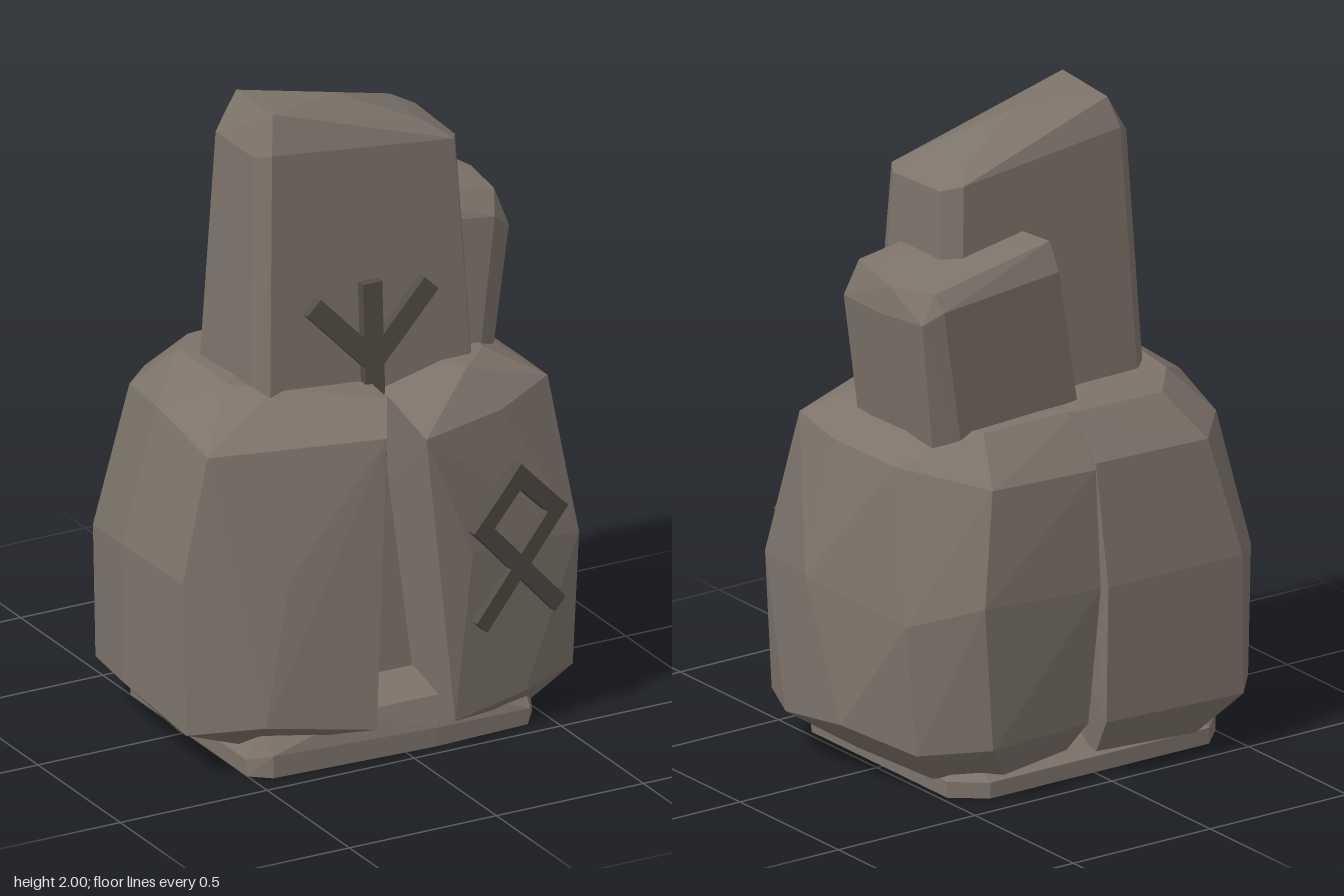
import * as THREE from 'three';
import { ConvexGeometry } from 'three/addons/geometries/ConvexGeometry.js';

const stone = new THREE.MeshStandardMaterial({ color: 0x7d736a });
stone.name = 'stone';
const runeStone = new THREE.MeshStandardMaterial({ color: 0x524d45 });
runeStone.name = 'dark rune stone';

// Faceted rock: the hull of a few corner points
function rock(name, points) {
  const geo = new ConvexGeometry(points.map((p) => new THREE.Vector3(...p)));
  const mesh = new THREE.Mesh(geo, stone);
  mesh.name = name;
  return mesh;
}

// Raised rune made of straight strokes [x1, y1, x2, y2]
function rune(name, strokes, width, depth) {
  const group = new THREE.Group();
  group.name = name;
  for (const [x1, y1, x2, y2] of strokes) {
    const dx = x2 - x1, dy = y2 - y1;
    const bar = new THREE.Mesh(new THREE.BoxGeometry(Math.hypot(dx, dy), width, depth), runeStone);
    bar.position.set((x1 + x2) / 2, (y1 + y2) / 2, 0);
    bar.rotation.z = Math.atan2(dy, dx);
    bar.name = 'runeStroke';
    group.add(bar);
  }
  return group;
}

export function createModel() {
  const model = new THREE.Group();
  model.name = 'runeStones';

  // Flat footing under the boulders
  model.add(rock('baseSlab', [
    [-0.5, 0, 0.38], [-0.44, 0, 0.43], [0.1, 0, 0.455], [0.42, 0, 0.44], [0.48, 0, 0.36],
    [0.48, 0, -0.33], [0.38, 0, -0.41], [-0.42, 0, -0.41], [-0.5, 0, -0.33],
    [-0.5, 0.05, 0.37], [-0.44, 0.07, 0.43], [0.1, 0.06, 0.455], [0.43, 0.05, 0.44],
    [0.48, 0.08, 0.34], [0.48, 0.05, -0.33], [0.38, 0.05, -0.41], [-0.42, 0.05, -0.41],
    [-0.5, 0.05, -0.33],
    [-0.45, 0.13, 0.37], [-0.15, 0.15, 0.42], [0.15, 0.15, 0.42], [0.43, 0.12, 0.38],
    [-0.13, 0.2, 0.3], [0.13, 0.2, 0.3], [0.4, 0.12, -0.3], [-0.42, 0.12, -0.3],
  ]));

  // Boulder on the model's left
  model.add(rock('leftBoulder', [
    // underside
    [0.15, 0.08, 0.43], [0.46, 0.05, 0.38], [0.54, 0.06, 0.05], [0.5, 0.05, -0.28],
    [0.32, 0.06, -0.4], [0.08, 0.08, -0.38],
    // lower rim
    [0.14, 0.09, 0.5], [0.4, 0.12, 0.46], [0.59, 0.15, 0.41], [0.69, 0.16, 0.2],
    [0.69, 0.2, -0.08], [0.6, 0.16, -0.34], [0.42, 0.18, -0.48], [0.05, 0.18, -0.45],
    // waist
    [0.2, 0.62, 0.5], [0.6, 0.58, 0.43], [0.69, 0.62, 0.1], [0.63, 0.57, -0.33],
    [0.46, 0.64, -0.495], [0.03, 0.61, -0.485],
    // shoulder
    [0.05, 1.01, 0.485], [0.35, 1.02, 0.41], [0.56, 1.05, 0.31], [0.585, 1.03, 0.1],
    [0.58, 1.03, -0.2], [0.4, 0.99, -0.45], [0.03, 0.98, -0.46],
    // crown
    [0.03, 1.08, 0.3], [0.28, 1.135, 0.32], [0.4, 1.135, 0.2], [0.44, 1.13, -0.1],
    [0.34, 1.12, -0.32], [0.0, 1.13, -0.34],
  ]));

  // Boulder on the model's right
  model.add(rock('rightBoulder', [
    // underside
    [-0.14, 0.1, 0.42], [-0.48, 0.07, 0.3], [-0.58, 0.06, 0.1], [-0.54, 0.06, -0.28],
    [-0.35, 0.06, -0.44], [0.0, 0.07, -0.42],
    // lower rim
    [-0.13, 0.12, 0.505], [-0.47, 0.17, 0.44], [-0.68, 0.15, 0.33], [-0.69, 0.19, -0.04],
    [-0.62, 0.15, -0.33], [-0.47, 0.18, -0.515], [0.02, 0.19, -0.5],
    // waist
    [-0.38, 0.62, 0.42], [-0.67, 0.62, 0.29], [-0.68, 0.62, -0.06], [-0.62, 0.57, -0.345],
    [-0.47, 0.62, -0.51], [0.02, 0.62, -0.51],
    // shoulder
    [-0.07, 1.03, 0.46], [-0.43, 1.05, 0.3], [-0.585, 1.01, 0.29], [-0.57, 1.05, -0.05],
    [-0.51, 1.01, -0.32], [-0.38, 0.99, -0.46], [0.03, 1.0, -0.46],
    // crown
    [-0.02, 1.12, 0.37], [-0.43, 1.16, 0.13], [-0.32, 1.15, 0.22], [-0.4, 1.14, -0.22],
    [-0.3, 1.12, -0.34], [0.04, 1.13, -0.35],
  ]));

  // Tall standing slab with bevelled corners and a sloping top
  model.add(rock('tallSlab', [
    [-0.38, 0.15, 0.29], [0.39, 0.15, 0.29], [0.42, 0.15, 0.22], [0.42, 0.15, -0.17],
    [0.37, 0.15, -0.22], [-0.36, 0.15, -0.24], [-0.42, 0.15, -0.18], [-0.42, 0.15, 0.23],
    [-0.31, 1.89, 0.19], [0.31, 1.82, 0.19], [0.34, 1.81, 0.14], [0.34, 1.82, -0.1],
    [0.29, 1.84, -0.15], [-0.29, 1.9, -0.14], [-0.34, 1.87, -0.1], [-0.34, 1.87, 0.13],
    [-0.28, 2.0, 0.14], [-0.27, 1.99, -0.1], [0.0, 1.97, 0.02], [0.24, 1.87, 0.13], [0.25, 1.87, -0.1],
  ]));

  // Shorter leaning slab behind it
  model.add(rock('shortSlab', [
    [-0.12, 0.9, -0.18], [-0.08, 0.9, -0.26], [0.36, 0.9, -0.27], [0.44, 0.9, -0.22],
    [0.45, 0.9, 0.13], [0.38, 0.9, 0.18], [0.0, 0.9, 0.15],
    [0.01, 1.58, -0.22], [0.06, 1.57, -0.315], [0.48, 1.53, -0.315], [0.535, 1.49, -0.28],
    [0.555, 1.48, -0.1], [0.535, 1.47, 0.12], [0.47, 1.52, 0.15], [0.06, 1.56, 0.12],
    [0.07, 1.66, -0.28], [0.49, 1.58, -0.28], [0.54, 1.57, -0.12], [0.5, 1.585, 0.09],
    [0.1, 1.65, 0.08],
  ]));

  // Three-armed rune on the tall slab
  const forkRune = rune('forkRune', [
    [0, 0.88, 0, 1.44], [0, 1.19, -0.2, 1.4], [0, 1.19, 0.2, 1.4],
  ], 0.065, 0.05);
  forkRune.position.z = 0.295;
  forkRune.rotation.x = -0.05;
  model.add(forkRune);

  // Diamond rune with crossed legs on the left boulder, turned to its face
  const diamondRune = rune('diamondRune', [
    [0.02, 0.17, -0.16, -0.01], [-0.02, 0.17, 0.16, -0.01],
    [-0.16, 0.03, 0.15, -0.3], [0.16, 0.03, -0.15, -0.3],
  ], 0.055, 0.04);
  diamondRune.position.set(0.365, 0.68, 0.474);
  diamondRune.rotation.y = 0.175;
  model.add(diamondRune);

  return model;
}
